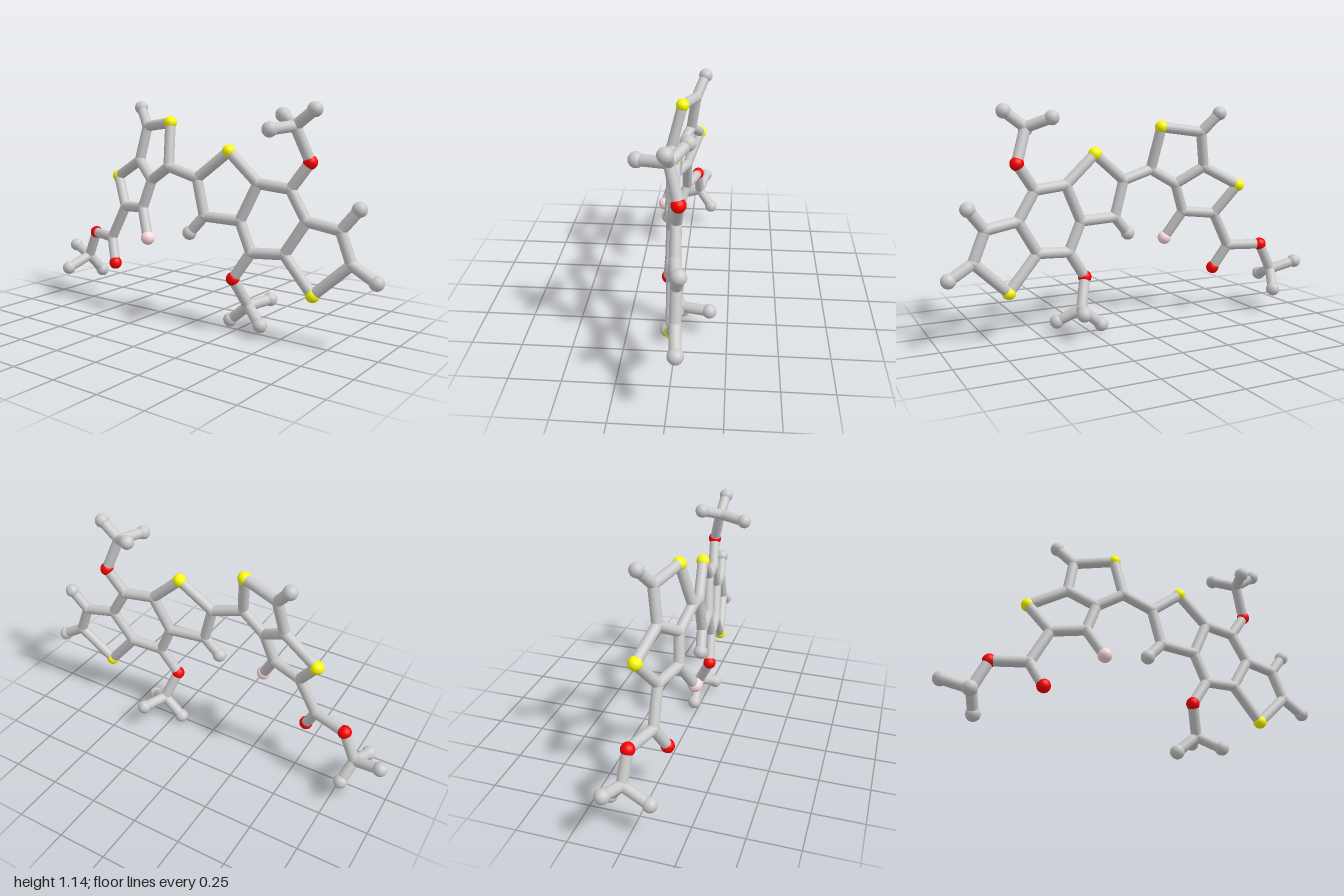
import * as THREE from 'three';

const STICK = 0.027;
const KINDS = {
  carbon: { color: 0xcccccc, radius: 0.029 },
  hydrogen: { color: 0xcccccc, radius: 0.036 },
  sulfur: { color: 0xffff00, radius: 0.034 },
  oxygen: { color: 0xff0000, radius: 0.034 },
  fluorine: { color: 0xffdde2, radius: 0.036 },
};

// The two flat ring systems lie in slightly tilted planes
const leftPlane = (x, y) => 0.274 + 0.314 * x - 0.208 * y;
const rightPlane = (x, y) => 0.096 - 0.124 * x - 0.058 * y;

// key: [kind, x, y, z], z left out where the atom lies in its plane
const LEFT = {
  s1: ['sulfur', -0.163, 1.024], c2: ['carbon', -0.366, 0.997], h2: ['hydrogen', -0.446, 1.093],
  c3: ['carbon', -0.4, 0.815], c3a: ['carbon', -0.265, 0.725], c4: ['carbon', -0.131, 0.805],
  s5: ['sulfur', -0.59, 0.714], c6: ['carbon', -0.484, 0.56], c7: ['carbon', -0.318, 0.575],
  f: ['fluorine', -0.238, 0.43],
  // ester tail
  c8: ['carbon', -0.58, 0.377], o8: ['oxygen', -0.516, 0.249], o9: ['oxygen', -0.757, 0.377],
  me: ['carbon', -0.826, 0.23, -0.05], meH1: ['hydrogen', -0.965, 0.27, -0.083],
  meH2: ['hydrogen', -0.853, 0.177, 0.09], meH3: ['hydrogen', -0.794, 0.134, -0.122],
};
const RIGHT = {
  a1: ['carbon', 0.035, 0.757], aS: ['sulfur', 0.206, 0.896], a2: ['carbon', 0.366, 0.751],
  a3: ['carbon', 0.28, 0.564], a4: ['carbon', 0.083, 0.57], aH: ['hydrogen', 0.003, 0.479],
  // middle ring
  b1: ['carbon', 0.532, 0.735], b2: ['carbon', 0.618, 0.591],
  b3: ['carbon', 0.516, 0.425], b4: ['carbon', 0.345, 0.414],
  // outer ring
  d1: ['carbon', 0.783, 0.564], dH1: ['hydrogen', 0.864, 0.666], d2: ['carbon', 0.842, 0.414],
  dH2: ['hydrogen', 0.96, 0.345], dS: ['sulfur', 0.666, 0.249],
  // upper methoxy
  uO: ['oxygen', 0.623, 0.864], uC: ['carbon', 0.564, 1.03, 0.012],
  uH1: ['hydrogen', 0.457, 1.076, -0.06], uH2: ['hydrogen', 0.666, 1.107, 0.018],
  uH3: ['hydrogen', 0.516, 1.019, 0.157],
  // lower methoxy
  lO: ['oxygen', 0.254, 0.275], lC: ['carbon', 0.302, 0.131, -0.02],
  lH1: ['hydrogen', 0.195, 0.039, -0.02], lH2: ['hydrogen', 0.409, 0.065, 0.042],
  lH3: ['hydrogen', 0.345, 0.14, -0.16],
};

// Chains of bonded atoms
const CHAINS = [
  's1 c2 c3 c3a c4 s1', 'c3 s5 c6 c7 c3a', 'c2 h2', 'c7 f',
  'c6 c8 o9 me meH1', 'c8 o8', 'me meH2', 'me meH3',
  'c4 a1 aS a2 a3 a4 a1', 'a4 aH', 'a2 b1 b2 b3 b4 a3',
  'b2 d1 d2 dS b3', 'd1 dH1', 'd2 dH2',
  'b1 uO uC uH1', 'uC uH2', 'uC uH3',
  'b4 lO lC lH1', 'lC lH2', 'lC lH3',
];

export function createModel() {
  const model = new THREE.Group();
  model.name = 'molecule';
  const balls = new THREE.Group();
  balls.name = 'atoms';
  const sticks = new THREE.Group();
  sticks.name = 'bonds';
  model.add(balls, sticks);

  const ballGeometry = new THREE.SphereGeometry(1, 24, 16);
  const stickGeometry = new THREE.CylinderGeometry(STICK, STICK, 1, 20, 1, true);
  const materials = {};
  for (const kind in KINDS) {
    materials[kind] = new THREE.MeshStandardMaterial({ color: KINDS[kind].color });
  }

  // Atoms
  const at = {};
  const addAtoms = (table, plane) => {
    for (const [key, [kind, x, y, z = plane(x, y)]] of Object.entries(table)) {
      at[key] = new THREE.Vector3(x, y, z);
      const ball = new THREE.Mesh(ballGeometry, materials[kind]);
      ball.name = kind + 'Atom';
      ball.position.copy(at[key]);
      ball.scale.setScalar(KINDS[kind].radius);
      balls.add(ball);
    }
  };
  addAtoms(LEFT, leftPlane);
  addAtoms(RIGHT, rightPlane);

  // Bonds
  const up = new THREE.Vector3(0, 1, 0);
  for (const chain of CHAINS) {
    const keys = chain.split(' ');
    for (let i = 1; i < keys.length; i++) {
      const a = at[keys[i - 1]], b = at[keys[i]];
      const dir = b.clone().sub(a);
      const stick = new THREE.Mesh(stickGeometry, materials.carbon);
      stick.name = 'bond';
      stick.position.copy(a).add(b).multiplyScalar(0.5);
      stick.scale.y = dir.length();
      stick.quaternion.setFromUnitVectors(up, dir.normalize());
      sticks.add(stick);
    }
  }
  return model;
}
